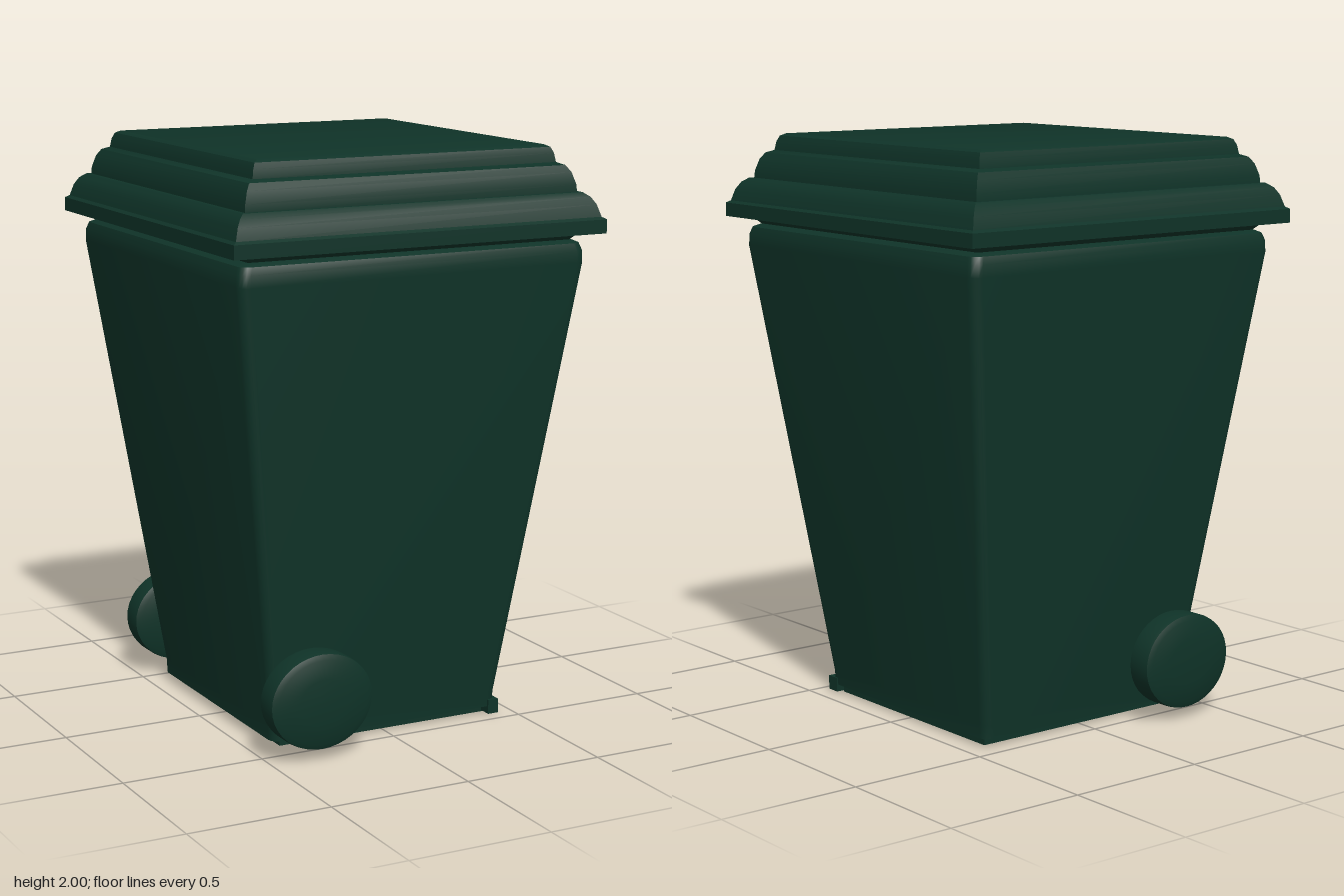
import * as THREE from 'three';
import { toCreasedNormals } from 'three/addons/utils/BufferGeometryUtils.js';

const green = new THREE.MeshStandardMaterial({ color: 0x0f3328 });
green.name = 'dark green';

// Corner points of a rectangle, anticlockwise seen from below (x towards z)
function ring([hx, hz, y], r, segs) {
  const pts = [];
  [[1, 1], [-1, 1], [-1, -1], [1, -1]].forEach(([sx, sz], c) => {
    for (let i = 0; i <= segs; i++) {
      const a = (c + (segs ? i / segs : 0.5)) * Math.PI / 2;
      const k = segs ? r : 0;
      pts.push([sx * (hx - k) + k * Math.cos(a), y, sz * (hz - k) + k * Math.sin(a)]);
    }
  });
  return pts;
}

// Closed loft through rectangular levels [halfWidth, halfDepth, y], bottom to top
function loft(levels, r, segs, crease) {
  const rings = levels.map(l => ring(l, r, segs));
  const n = rings[0].length;
  const pos = rings.flat(2);
  const idx = [];
  for (let j = 0; j < rings.length - 1; j++) {
    for (let i = 0; i < n; i++) {
      const a = j * n + i, b = j * n + (i + 1) % n;
      idx.push(a, a + n, b, b, a + n, b + n);
    }
  }
  const top = (rings.length - 1) * n;
  for (let i = 1; i < n - 1; i++) {
    idx.push(0, i, i + 1, top, top + i + 1, top + i);
  }
  const g = new THREE.BufferGeometry();
  g.setAttribute('position', new THREE.Float32BufferAttribute(pos, 3));
  g.setIndex(idx);
  return toCreasedNormals(g, crease);
}

export function createModel() {
  const model = new THREE.Group();
  const add = (name, geometry, x = 0, y = 0, z = 0) => {
    const mesh = new THREE.Mesh(geometry, green);
    mesh.name = name;
    mesh.position.set(x, y, z);
    model.add(mesh);
    return mesh;
  };

  // Tapered tub with softened corners and a rolled top edge
  const tub = [
    [0.435, 0.45, 0.03], [0.437, 0.452, 0.08], [0.64, 0.655, 1.61],
    [0.638, 0.654, 1.65], [0.63, 0.645, 1.675], [0.61, 0.625, 1.685],
  ];
  add('body', loft(tub, 0.035, 4, 0.7));

  // Base plate with one corner foot
  add('base', new THREE.BoxGeometry(0.8, 0.06, 0.82), 0.01, 0.03, 0);
  add('cornerFoot', new THREE.BoxGeometry(0.04, 0.05, 0.05), 0.42, 0.03, 0.435);

  // Stepped lid with mitred corners; the depth is slightly larger than the width
  const lid = [
    [0.58, 1.67], [0.62, 1.71], [0.685, 1.71], [0.685, 1.757], [0.672, 1.765],
    [0.66, 1.805], [0.645, 1.83], [0.625, 1.845], [0.612, 1.845],
    [0.61, 1.87], [0.598, 1.91], [0.583, 1.933], [0.56, 1.942],
    [0.555, 1.972], [0.546, 1.992], [0.53, 2.0],
  ].map(([h, y]) => [h, h + 0.02, y]);
  add('lid', loft(lid, 0, 0, 0.6));

  // Two domed wheels, front and back, near the right-hand side
  const profile = [
    [0, -0.06], [0.08, -0.058], [0.145, -0.05], [0.163, -0.042], [0.165, -0.03],
    [0.165, 0.03], [0.163, 0.042], [0.145, 0.05], [0.08, 0.058], [0, 0.06],
  ].map(([r, h]) => new THREE.Vector2(r, h));
  const wheel = new THREE.LatheGeometry(profile, 40);
  wheel.rotateX(Math.PI / 2);
  wheel.scale(1.14, 1, 1);
  const wheelGeometry = toCreasedNormals(wheel, 0.6);
  add('frontWheel', wheelGeometry, -0.33, 0.205, 0.568);
  add('backWheel', wheelGeometry, -0.33, 0.205, -0.56);

  return model;
}
